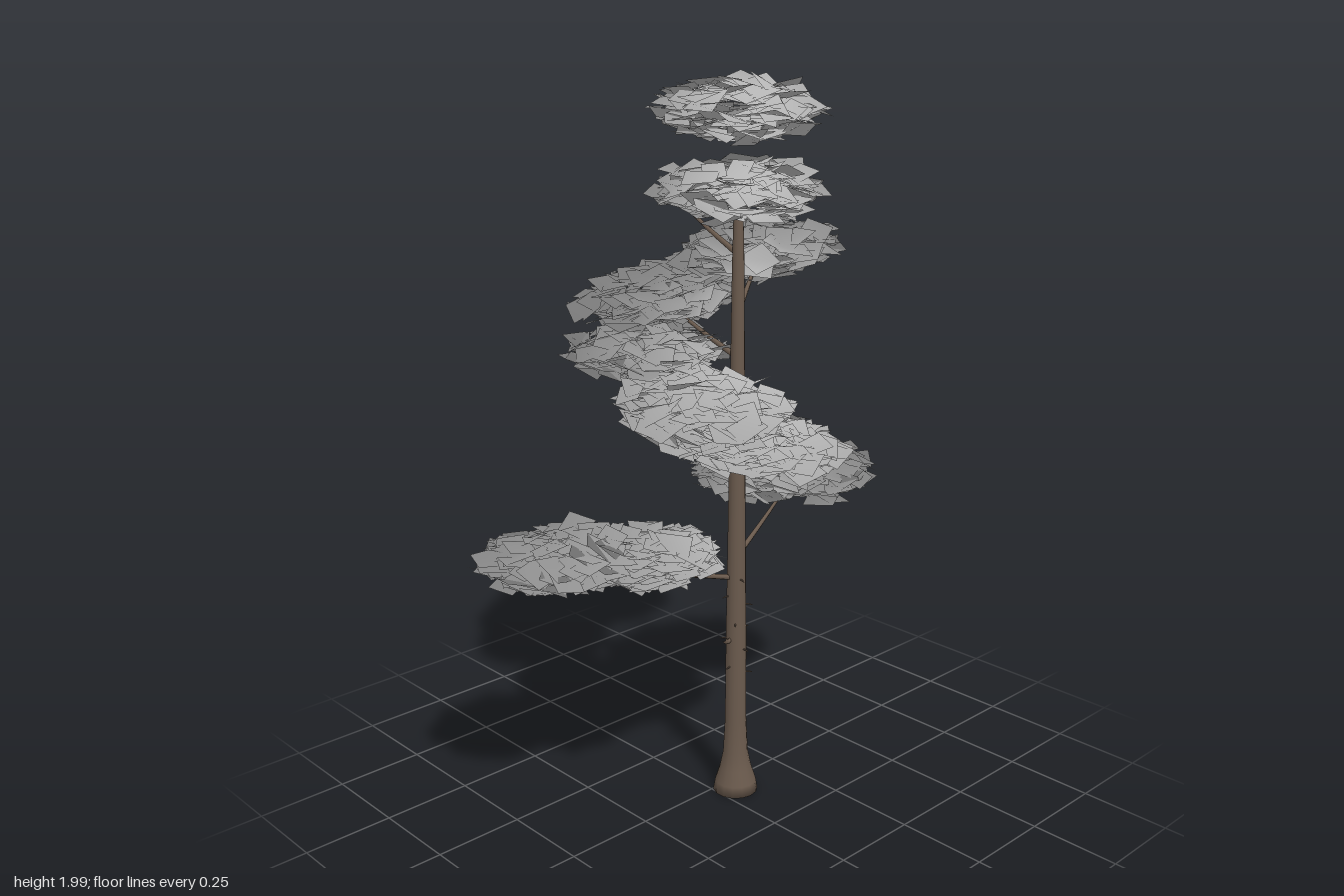
import * as THREE from 'three';

const TRUNK_X = 0.055, TRUNK_Z = 0.04;

// seeded random numbers in 0..1
let seed = 7;
function rand() {
  seed = (seed * 1664525 + 1013904223) % 4294967296;
  return seed / 4294967296;
}
const jitter = (a) => (rand() * 2 - 1) * a;

// tapered limb following a list of points
function limb(points, r0, r1, material, name) {
  const curve = new THREE.CatmullRomCurve3(points);
  const rings = 6, sides = 6;
  const geo = new THREE.TubeGeometry(curve, rings, 1, sides, false);
  const pos = geo.attributes.position;
  const v = new THREE.Vector3();
  for (let i = 0; i < pos.count; i++) {
    const t = Math.floor(i / (sides + 1)) / rings;
    const c = curve.getPointAt(t);
    v.fromBufferAttribute(pos, i).sub(c).multiplyScalar(r0 + (r1 - r0) * t).add(c);
    pos.setXYZ(i, v.x, v.y, v.z);
  }
  const mesh = new THREE.Mesh(geo, material);
  mesh.name = name;
  return mesh;
}

// lens-shaped cloud of overlapping, nearly level leaf cards
function foliage({ c, r, sx = 0, sz = 0, n = 190 }, material) {
  const [cx, cy, cz] = c, [rx, ry, rz] = r;
  const positions = [], normals = [], index = [];
  const heart = new THREE.Vector3(TRUNK_X, cy - 0.13, TRUNK_Z);
  const p = new THREE.Vector3(), q = new THREE.Vector3(), up = new THREE.Vector3();
  const turn = new THREE.Quaternion(), spin = new THREE.Quaternion();
  const Y = new THREE.Vector3(0, 1, 0);
  for (let i = 0; i < n; i++) {
    const h = 1 - 2 * (i + 0.5) / n, a = i * 2.39996 + jitter(0.3);
    const ring = Math.sqrt(1 - h * h), depth = 0.7 + rand() * 0.35;
    const dx = Math.cos(a) * ring * rx * depth, dz = Math.sin(a) * ring * rz * depth;
    p.set(cx + dx, cy + h * ry * depth + dx * sx + dz * sz, cz + dz);
    const side = h < 0 ? -1 : 1;
    up.set(Math.cos(a) * ring * 0.2 - sx * side + jitter(0.42), side, Math.sin(a) * ring * 0.2 - sz * side + jitter(0.42)).normalize();
    turn.setFromUnitVectors(Y, up);
    spin.setFromAxisAngle(Y, rand() * Math.PI * 2);
    turn.multiply(spin);
    const w = 0.033 + rand() * 0.016, d = 0.029 + rand() * 0.016;
    const base = positions.length / 3;
    for (const [u, s] of [[-1, -1], [-1, 1], [1, 1], [1, -1]]) {
      q.set(u * w, jitter(0.01), s * d).applyQuaternion(turn).add(p);
      positions.push(q.x, q.y, q.z);
      // shading turns around the trunk
      q.sub(heart).normalize();
      normals.push(q.x, q.y, q.z);
    }
    // fronts face out of the cluster
    index.push(base, base + 1, base + 2, base, base + 2, base + 3);
  }
  const geo = new THREE.BufferGeometry();
  geo.setAttribute('position', new THREE.Float32BufferAttribute(positions, 3));
  geo.setAttribute('normal', new THREE.Float32BufferAttribute(normals, 3));
  geo.setIndex(index);
  const mesh = new THREE.Mesh(geo, material);
  mesh.name = 'foliageCluster';
  return mesh;
}

export function createModel() {
  seed = 7;
  const bark = new THREE.MeshStandardMaterial({ color: 0x6a5a4d });
  bark.name = 'brown bark';
  const leaf = new THREE.MeshStandardMaterial({ color: 0xb4b4b4, side: THREE.DoubleSide });
  leaf.name = 'grey leaves';
  const tree = new THREE.Group();
  tree.name = 'tree';

  // trunk with flared foot
  const profile = [[0, 0], [0.063, 0], [0.058, 0.03], [0.045, 0.07], [0.035, 0.12], [0.03, 0.22],
    [0.028, 0.5], [0.024, 0.8], [0.02, 1.15], [0.016, 1.5], [0.011, 1.7], [0, 1.75]];
  const trunk = new THREE.Mesh(new THREE.LatheGeometry(profile.map(([x, y]) => new THREE.Vector2(x, y)), 14), bark);
  trunk.position.set(TRUNK_X, 0, TRUNK_Z);
  trunk.name = 'trunk';
  tree.add(trunk);

  // foliage clusters: centre, radii, tilt
  const clusters = [
    { c: [0.05, 1.89, 0.04], r: [0.19, 0.07, 0.19] },
    { c: [0.075, 1.69, 0.015], r: [0.19, 0.07, 0.19] },
    { c: [0.25, 1.51, -0.09], r: [0.2, 0.062, 0.19], sx: 0.1 },
    { c: [0.02, 1.39, -0.23], r: [0.205, 0.065, 0.19], sx: 0.1 },
    { c: [-0.09, 1.275, -0.15], r: [0.185, 0.06, 0.18] },
    { c: [-0.18, 1.19, 0.16], r: [0.19, 0.07, 0.2], sz: -0.08 },
    { c: [-0.07, 1.1, 0.22], r: [0.205, 0.05, 0.2], sx: -0.08, sz: -0.06 },
    { c: [-0.43, 0.79, -0.11], r: [0.185, 0.06, 0.165] },
    { c: [-0.23, 0.77, -0.01], r: [0.17, 0.05, 0.17] },
    { c: [0.42, 0.85, -0.07], r: [0.185, 0.065, 0.19] },
    { c: [0.28, 0.87, -0.09], r: [0.17, 0.05, 0.17] },
  ];
  const crown = new THREE.Group();
  crown.name = 'crown';
  clusters.forEach((spec) => crown.add(foliage(spec, leaf)));
  tree.add(crown);

  // branches: height on the trunk, tip
  const branches = [
    [0.645, [-0.45, 0.78, -0.11]], [0.705, [0.42, 0.86, -0.07]],
    [0.98, [-0.08, 1.1, 0.22]], [1.02, [-0.18, 1.18, 0.16]],
    [1.17, [-0.1, 1.27, -0.14]], [1.26, [0.03, 1.39, -0.24]],
    [1.38, [0.27, 1.51, -0.09]], [1.53, [0.05, 1.65, -0.18]],
  ];
  for (const [y, tip] of branches) {
    const start = new THREE.Vector3(TRUNK_X, y, TRUNK_Z);
    const end = new THREE.Vector3(...tip);
    const mid = start.clone().lerp(end, 0.5);
    mid.y -= 0.005;
    tree.add(limb([start, mid, end], 0.008, 0.003, bark, 'branch'));
  }

  // dead twigs on the bare trunk
  for (let i = 0; i < 12; i++) {
    const y = 0.36 + i * 0.026, a = i * 2.4 + 0.6, len = 0.045;
    const at = (d, dy) => new THREE.Vector3(TRUNK_X + Math.cos(a) * d, y + dy, TRUNK_Z + Math.sin(a) * d);
    tree.add(limb([at(0.015, 0), at(len * 0.7, 0.002), at(len, 0)], 0.003, 0.0015, bark, 'twig'));
  }
  // broken stub
  tree.add(limb([new THREE.Vector3(0.04, 0.47, 0.04), new THREE.Vector3(0.015, 0.468, 0.045),
    new THREE.Vector3(0.003, 0.48, 0.045)], 0.005, 0.009, bark, 'stub'));
  return tree;
}
